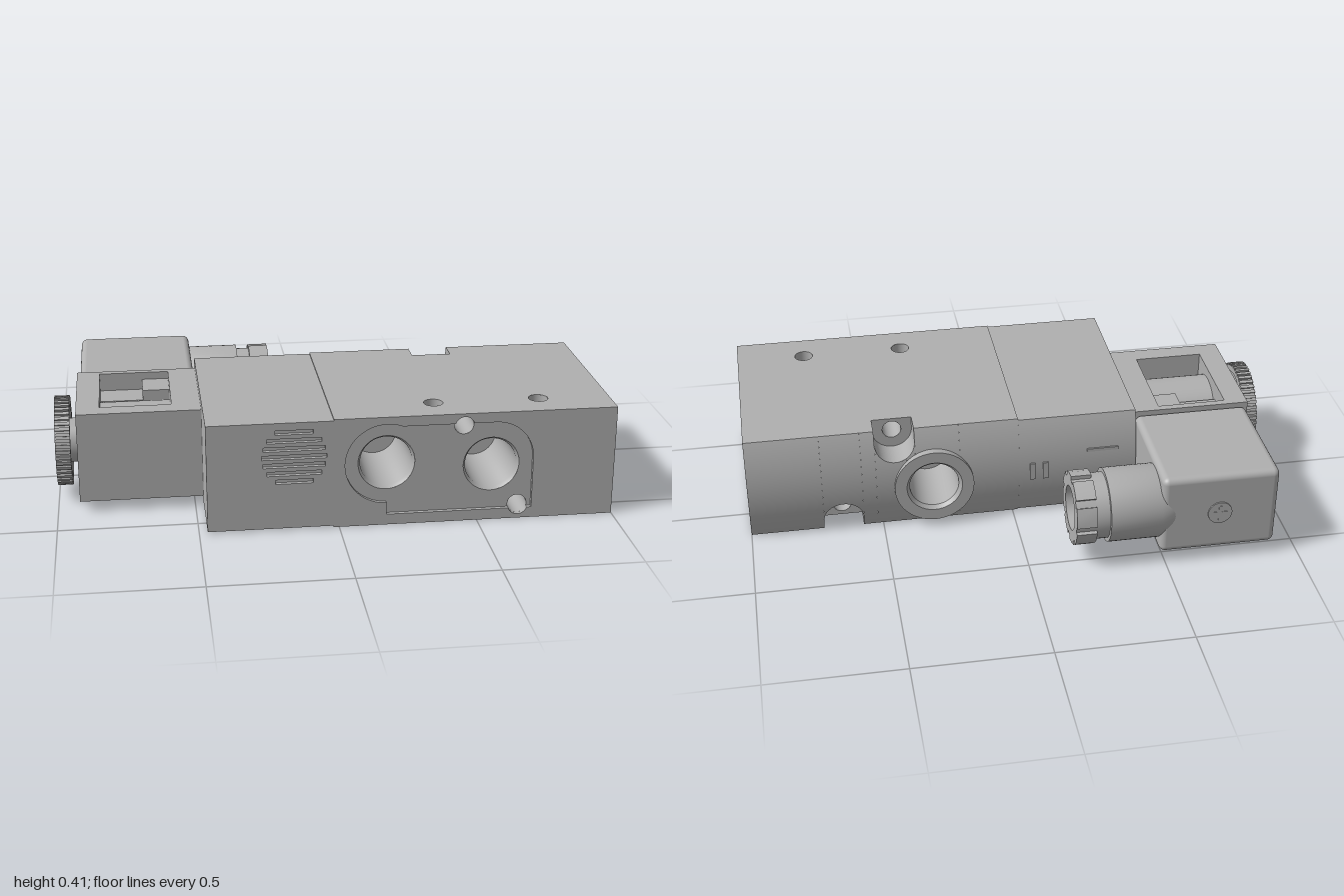
import * as THREE from 'three';
import { toCreasedNormals } from 'three/addons/utils/BufferGeometryUtils.js';
import { RoundedBoxGeometry } from 'three/addons/geometries/RoundedBoxGeometry.js';
import { ParametricGeometry } from 'three/addons/geometries/ParametricGeometry.js';

const PI = Math.PI, H = 0.412, MID = H / 2, FLOOR = 0.575, FRONT = 0.59;
const lerp = THREE.MathUtils.lerp;
const grey = new THREE.MeshStandardMaterial({ color: 0xb0b0b0, side: THREE.DoubleSide });
grey.name = 'cast grey';

// Bulging rear face of the valve
const back = y => -0.14 - 0.042 * (1 - ((y - MID) / MID) ** 2);

const add = (parent, name, geo, x = 0, y = 0, z = 0) => {
  const mesh = new THREE.Mesh(geo, grey);
  mesh.name = name;
  mesh.position.set(x, y, z);
  parent.add(mesh);
  return mesh;
};
const poly = pts => new THREE.Shape(pts.map(p => new THREE.Vector2(...p)));
const rect = (x0, y0, x1, y1) => poly([[x0, y0], [x1, y0], [x1, y1], [x0, y1]]);
const circle = (x, y, r) => new THREE.Shape().absarc(x, y, r, 0, 2 * PI, false);
const extrude = (shape, depth) =>
  toCreasedNormals(new THREE.ExtrudeGeometry(shape, { depth, bevelEnabled: false, curveSegments: 24 }), 0.5);
const flat = shape => new THREE.ShapeGeometry(shape, 32);
const tubeZ = (r, z0, z1) =>
  new THREE.CylinderGeometry(r, r, z1 - z0, 32, 1, true).rotateX(PI / 2).translate(0, 0, (z0 + z1) / 2);
// Turned part: [radius, position] pairs along z or x
const latheZ = pts => toCreasedNormals(
  new THREE.LatheGeometry(pts.map(p => new THREE.Vector2(...p)), 48).rotateX(PI / 2), 0.6);
const latheX = pts => toCreasedNormals(
  new THREE.LatheGeometry(pts.map(p => new THREE.Vector2(...p)), 48).rotateZ(-PI / 2), 0.6);

// Side outline in (-z, y)
const sideProfile = (y0, y1) => {
  const pts = [[-FLOOR, y0]];
  for (let i = 0; i <= 24; i++) {
    const y = lerp(y0, y1, i / 24);
    pts.push([-back(y), y]);
  }
  pts.push([-FLOOR, y1]);
  return poly(pts);
};
// Toothed wheel outline
const wheel = (n, rOut, rIn, duty, bore) => {
  const pts = [];
  for (let i = 0; i < n; i++)
    for (const [f, r] of [[0, rOut], [duty / 2, rOut], [duty, rOut], [duty, rIn], [(1 + duty) / 2, rIn], [1, rIn]]) {
      const a = (i + f) / n * 2 * PI;
      pts.push([r * Math.cos(a), r * Math.sin(a)]);
    }
  const s = poly(pts);
  s.holes.push(circle(0, 0, bore));
  return s;
};

const frontPorts = [[0.17, 0.235], [0.55, 0.21]];
const screwHoles = [{ x: 0.447, y: 0.365, edge: H }, { x: 0.65, y: 0.05, edge: 0 }];
const upright = [0.355, 0.74];
const R = 0.035, NR = 0.075, NZ = -0.06;
const BP = { x: 0.305, y: 0.18, r: 0.1 };

function valveBody() {
  const g = new THREE.Group();
  g.name = 'valveBody';

  // Top and bottom, each with a notch at the rear edge and two upright holes
  for (const n of screwHoles) {
    const s = poly([[-0.02, -FLOOR], [1, -FLOOR], [1, 0.14], [n.x + NR, 0.14], [n.x + NR, -NZ],
      [n.x - NR, -NZ], [n.x - NR, 0.14], [-0.02, 0.14]]);
    for (const x of upright) s.holes.push(circle(x, -0.465, R));
    add(g, n.edge ? 'topFace' : 'bottomFace', flat(s).rotateX(-PI / 2), 0, n.edge, 0);
  }
  for (const x of upright)
    add(g, 'uprightHole', new THREE.CylinderGeometry(R, R, H, 32, 1, true), x, MID, 0.465);

  // End faces, the outer one with a small countersunk hole
  const outer = sideProfile(0, H);
  outer.holes.push(circle(0.055, 0.21, 0.033));
  add(g, 'outerEnd', flat(outer).rotateY(PI / 2), 1);
  add(g, 'innerEnd', flat(sideProfile(0, H)).rotateY(PI / 2), -0.02);
  add(g, 'endHole', latheX([[0.033, 0], [0.02, -0.02], [0.02, -0.08], [0, -0.08]]), 1, 0.21, -0.055);

  // Front floor with ports and screw holes
  const floor = rect(-0.02, 0, 1, H);
  for (const [x, y] of frontPorts) {
    floor.holes.push(circle(x, y, 0.102));
    add(g, 'frontPort', latheZ([[0.102, 0], [0.093, -0.015], [0.085, -0.3], [0, -0.3]]), x, y, FLOOR);
  }
  for (const n of screwHoles) floor.holes.push(circle(n.x, n.y, R));
  add(g, 'frontFloor', flat(floor), 0, 0, FLOOR);

  // Raised front rim around the port recess
  const rim = rect(-0.02, 0, 1, H), a = Math.asin(0.01 / R), [t, b] = screwHoles;
  const recess = new THREE.Path();
  recess.moveTo(0.17, 0.085).lineTo(0.17, 0.04);
  recess.absarc(b.x, b.y, R, PI + a, 2 * PI - a, false).lineTo(0.7, 0.04);
  recess.absarc(0.56, 0.235, 0.14, 0, PI / 2, false);
  recess.absarc(t.x, t.y, R, a, PI - a, false);
  recess.absarc(0.17, 0.235, 0.15, 1.2, 1.5 * PI, false);
  rim.holes.push(recess);
  add(g, 'frontRim', extrude(rim, FRONT - FLOOR), 0, 0, FLOOR);

  // Screw holes with open-edged counterbores at the rear
  for (const n of screwHoles) {
    add(g, 'screwHole', tubeZ(R, NZ, FLOOR), n.x, n.y);
    const u = new THREE.Shape().moveTo(n.x - NR, n.edge).lineTo(n.x - NR, n.y);
    u.absarc(n.x, n.y, NR, PI, n.edge ? 2 * PI : 0, !n.edge).lineTo(n.x + NR, n.edge);
    const pts = u.getPoints(24), last = pts.length - 1;
    add(g, 'counterboreWall', new ParametricGeometry((p, q, v) => {
      const c = pts[Math.round(p * last)];
      v.set(c.x, c.y, lerp(back(c.y), NZ, q));
    }, last, 1));
    u.holes.push(circle(n.x, n.y, R));
    add(g, 'counterboreFloor', flat(u), 0, 0, NZ);
  }

  // Curved rear face, patched around the port and the notches
  const bite = (x, cx, r) => Math.abs(x - cx) < r ? Math.sqrt(r * r - (x - cx) ** 2) : -1;
  const top = x => { const d = bite(x, t.x, NR); return d < 0 ? H : t.y - d; };
  const bottom = x => { const d = bite(x, b.x, NR); return d < 0 ? 0 : b.y + d; };
  const port = x => Math.max(0, bite(x, BP.x, BP.r));
  const cuts = [-0.02, BP.x - BP.r, t.x - NR, BP.x + BP.r, t.x + NR, b.x - NR, b.x + NR, 1];
  for (let i = 0; i < cuts.length - 1; i++)
    for (const upper of [false, true])
      add(g, 'rearFace', new ParametricGeometry((u, v, out) => {
        const x = lerp(cuts[i] + 1e-4, cuts[i + 1] - 1e-4, u);
        const y = upper ? lerp(BP.y + port(x), top(x), v) : lerp(bottom(x), BP.y - port(x), v);
        out.set(x, y, back(y));
      }, 24, 12));
  add(g, 'rearPort', latheZ([[0.15, 0.045], [0.15, 0], [0.105, 0], [0.093, 0.015], [0.085, 0.25], [0, 0.25]]),
    BP.x, BP.y, -0.195);
  return g;
}

function endBlock() {
  const g = new THREE.Group();
  g.name = 'endBlock';
  add(g, 'block', extrude(sideProfile(0.006, 0.407), 0.45).rotateY(PI / 2), -0.47);
  // Round vent made of level slots
  const face = rect(-0.47, 0.006, -0.02, 0.407);
  for (let i = -3; i <= 3; i++) {
    const y = 0.278 + i * 0.031, w = Math.sqrt(0.115 ** 2 - (i * 0.031) ** 2);
    face.holes.push(rect(-0.16 - w, y - 0.008, -0.16 + w, y + 0.008));
  }
  add(g, 'ventFace', extrude(face, FRONT - FLOOR), 0, 0, FLOOR);
  // Small rear tabs
  for (const [x, y, w, h] of [[-0.07, 0.2, 0.02, 0.07], [-0.12, 0.2, 0.02, 0.07], [-0.34, 0.27, 0.12, 0.012]])
    add(g, 'rearTab', new THREE.BoxGeometry(w, h, 0.009), x, y, back(y) - 0.001);
  return g;
}

function solenoid() {
  const g = new THREE.Group();
  g.name = 'solenoid';
  // Frame with a window right through it
  const frame = rect(-0.92, -0.345, -0.47, 0.112);
  frame.holes.push(rect(-0.835, -0.275, -0.575, 0.085));
  add(g, 'frame', extrude(frame, 0.338).rotateX(-PI / 2), 0, 0.04, 0);
  add(g, 'coil', new THREE.CylinderGeometry(0.13, 0.13, 0.26, 48).rotateZ(PI / 2), -0.705, 0.21, 0.145);
  add(g, 'coilTerminal', new THREE.BoxGeometry(0.1, 0.28, 0.125), -0.625, 0.21, -0.0225);
  add(g, 'windowFloor', new THREE.BoxGeometry(0.16, 0.2, 0.12), -0.755, 0.21, -0.025);
  // Knurled knob with dished outer face
  add(g, 'knobNeck', new THREE.CylinderGeometry(0.082, 0.082, 0.05, 40).rotateZ(PI / 2), -0.935, 0.208, 0.152);
  add(g, 'knobRim', extrude(wheel(48, 0.166, 0.157, 0.55, 0.135), 0.055).rotateY(PI / 2), -1, 0.208, 0.152);
  add(g, 'knobDisc', new THREE.CylinderGeometry(0.137, 0.137, 0.034, 40).rotateZ(PI / 2), -0.965, 0.208, 0.152);
  add(g, 'knobHub', latheX([[0.065, 0.02], [0.065, 0], [0.035, 0], [0.035, 0.015], [0, 0.015]]),
    -0.995, 0.208, 0.152);
  return g;
}

function plug() {
  const g = new THREE.Group();
  g.name = 'plugConnector';
  add(g, 'housing', new RoundedBoxGeometry(0.435, 0.318, 0.46, 4, 0.024), -0.692, 0.208, -0.341);
  // Cable gland with stepped neck and notched nut
  add(g, 'gland', latheX([[0.115, -0.535], [0.137, -0.475], [0.137, -0.285], [0.122, -0.285], [0.122, -0.232],
    [0.083, -0.232], [0.08, -0.3], [0, -0.3]]), 0, 0.208, -0.453);
  add(g, 'glandNut', extrude(wheel(8, 0.137, 0.122, 0.72, 0.083), 0.075).rotateY(PI / 2), -0.235, 0.208, -0.453);
  // Cross-head screw on the rear
  add(g, 'screwHead', new THREE.CylinderGeometry(0.045, 0.045, 0.008, 32).rotateX(PI / 2), -0.692, 0.208, -0.572);
  for (const [w, h] of [[0.06, 0.012], [0.012, 0.06]])
    add(g, 'screwCross', new THREE.BoxGeometry(w, h, 0.006), -0.692, 0.208, -0.575);
  return g;
}

export function createModel() {
  const model = new THREE.Group();
  model.name = 'solenoidValve';
  model.add(valveBody(), endBlock(), solenoid(), plug());
  return model;
}
